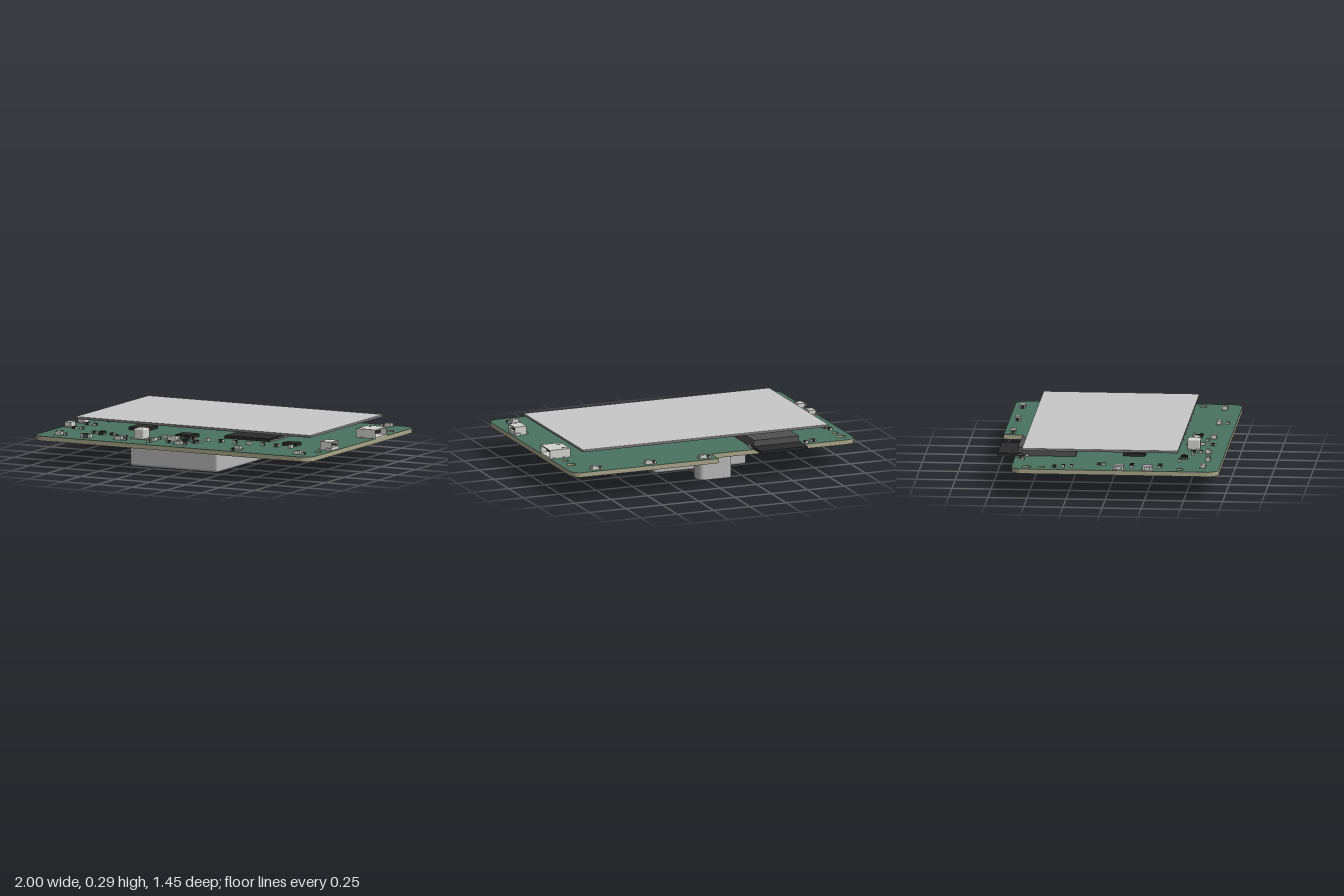
import * as THREE from 'three';
import { RoundedBoxGeometry } from 'three/addons/geometries/RoundedBoxGeometry.js';

const mat = (name, color) => {
  const m = new THREE.MeshStandardMaterial({ color });
  m.name = name;
  return m;
};

export function createModel() {
  const model = new THREE.Group();
  model.name = 'circuitBoard';
  const green = mat('boardGreen', 0x4a7461);
  const beige = mat('boardEdge', 0xa8a488);
  const panel = mat('screenGrey', 0xc8c8c8);
  const rim = mat('screenEdge', 0x77777a);
  const silver = mat('metal', 0xd2d2d0);
  const cell = mat('batteryGrey', 0xb8b8b8);
  const dark = mat('darkGrey', 0x505050);
  const black = mat('black', 0x2a2a2a);
  const TOP = 0.19;

  const add = (name, geo, material, x, y, z, parent = model) => {
    const m = new THREE.Mesh(geo, material);
    m.name = name;
    m.position.set(x, y, z);
    parent.add(m);
    return m;
  };
  // box given by its centre in plan and its bottom height
  const box = (name, material, x, z, w, d, h, y = TOP, parent = model) =>
    add(name, new THREE.BoxGeometry(w, h, d), material, x, y + h / 2, z, parent);
  const group = (name, x, z, turn = 0) => {
    const g = new THREE.Group();
    g.name = name;
    g.position.set(x, 0, z);
    g.rotation.y = turn;
    model.add(g);
    return g;
  };

  // board outline with a step at the back, and mounting holes
  const s = new THREE.Shape(), r = 0.07;
  s.moveTo(-1 + r, -0.72);
  s.lineTo(1 - r, -0.72);
  s.absarc(1 - r, -0.72 + r, r, -Math.PI / 2, 0);
  s.absarc(1 - r, 0.73 - r, r, 0, Math.PI / 2);
  s.lineTo(0, 0.73);
  s.lineTo(0, 0.605);
  s.absarc(-1 + r, 0.605 - r, r, Math.PI / 2, Math.PI);
  s.absarc(-1 + r, -0.72 + r, r, Math.PI, Math.PI * 1.5);
  for (const x of [-0.93, 0.927])
    for (const [z, rad] of [[-0.51, 0.03], [-0.412, 0.021], [0.47, 0.023]]) {
      const hole = new THREE.Path();
      hole.absarc(x, -z, rad, 0, Math.PI * 2, true);
      s.holes.push(hole);
    }
  const boardGeo = new THREE.ExtrudeGeometry(s, { depth: 0.03, bevelEnabled: false, curveSegments: 10 });
  boardGeo.rotateX(-Math.PI / 2);
  add('board', boardGeo, [green, beige], 0, 0.16, 0);

  // floating display panel
  box('screenBody', rim, 0.015, -0.0475, 1.69, 0.995, 0.012, 0.272);
  box('screenFace', panel, 0.015, -0.0475, 1.69, 0.995, 0.003, 0.284);

  // battery and the upright rounded block underneath
  add('battery', new RoundedBoxGeometry(0.635, 0.13, 1.005, 4, 0.018), cell, -0.0225, 0.095, 0.1375);
  const b = new THREE.Shape(), w = 0.115, d = 0.06, c = 0.035;
  b.moveTo(-w + c, -d);
  b.lineTo(w - c, -d);
  b.absarc(w - c, -d + c, c, -Math.PI / 2, 0);
  b.absarc(w - c, d - c, c, 0, Math.PI / 2);
  b.absarc(-w + c, d - c, c, Math.PI / 2, Math.PI);
  b.absarc(-w + c, -d + c, c, Math.PI, Math.PI * 1.5);
  const blockGeo = new THREE.ExtrudeGeometry(b, { depth: 0.16, bevelEnabled: false, curveSegments: 8 });
  blockGeo.rotateX(-Math.PI / 2);
  add('undersideBlock', blockGeo, cell, -0.065, 0, -0.465);

  // card socket with its card sticking out at the back
  box('cardSocket', dark, -0.455, -0.405, 0.31, 0.37, 0.055);
  box('card', black, -0.455, -0.635, 0.325, 0.17, 0.016);
  for (const side of [-1, 1])
    for (const z of [-0.575, -0.53]) box('socketTab', silver, -0.455 + side * 0.163, z, 0.018, 0.018, 0.012);

  // metal port at the right edge: hollow shell, tongue, slots and legs
  const port = group('portConnector', 0.93, -0.255);
  box('portRoof', silver, 0, 0, 0.14, 0.16, 0.007, 0.24, port);
  box('portFloor', silver, 0, 0, 0.14, 0.16, 0.007, TOP, port);
  box('portBack', silver, -0.066, 0, 0.008, 0.16, 0.05, TOP, port);
  box('portTongue', black, -0.01, 0, 0.1, 0.1, 0.014, 0.212, port);
  for (const side of [-1, 1]) {
    box('portWall', silver, 0, side * 0.077, 0.14, 0.006, 0.05, TOP, port);
    box('portSlot', black, -0.045, side * 0.045, 0.035, 0.009, 0.002, 0.246, port);
    for (const x of [-0.03, 0.04]) box('portLeg', silver, x, side * 0.08, 0.02, 0.012, 0.04, 0.157, port);
  }

  // white plug socket with side ears and pins
  const plug = group('plugSocket', 0.945, 0.345);
  box('plugFloor', silver, 0, 0, 0.08, 0.1, 0.02, TOP, plug);
  box('plugBack', silver, -0.034, 0, 0.012, 0.1, 0.055, TOP, plug);
  box('plugRoof', silver, 0, 0, 0.08, 0.1, 0.008, 0.237, plug);
  for (const side of [-1, 1]) {
    box('plugWall', silver, 0, side * 0.047, 0.08, 0.008, 0.055, TOP, plug);
    box('plugEar', silver, 0.02, side * 0.056, 0.03, 0.012, 0.015, TOP, plug);
  }
  for (let i = -1.5; i < 2; i++) {
    box('plugPin', dark, 0.015, i * 0.02, 0.04, 0.006, 0.006, 0.217, plug);
    box('plugLead', silver, -0.05, i * 0.02, 0.025, 0.008, 0.008, TOP, plug);
  }

  // two-terminal part: dark or light body between bright ends
  const chip = (x, z, turn = 0, len = 0.036, wid = 0.019, body = black, h = 0.015) => {
    const g = group('smallPart', x, z, turn ? Math.PI / 2 : 0);
    box('partBody', body, 0, 0, len * 0.6, wid, h, TOP, g);
    for (const e of [-1, 1]) box('partEnd', silver, e * len * 0.4, 0, len * 0.2, wid, h, TOP, g);
  };
  // indicator lights, each with a small part beside it
  const light = (x, z, side) => {
    const g = group('indicatorLight', x, z);
    box('lightBase', silver, 0, 0, 0.044, 0.036, 0.022, TOP, g);
    for (const e of [-1, 1])
      for (const f of [-1, 1]) box('lightPad', silver, e * 0.026, f * 0.013, 0.012, 0.012, 0.005, TOP, g);
    box('lightLens', panel, 0, 0, 0.03, 0.024, 0.002, TOP + 0.022, g);
    if (side) chip(x + side * 0.045, z, 1, 0.032, 0.014);
  };
  for (const x of [0.09, 0.465, 0.833]) light(x, -0.675, -1);
  for (const x of [-0.86, -0.43, 0, 0.857]) light(x, 0.613, 1);
  light(0.425, 0.613, 0);
  chip(0.425, 0.667);

  // side push buttons
  for (const z of [0.085, 0.268]) {
    const g = group('sideButton', -0.965, z);
    box('buttonBody', silver, 0, 0, 0.045, 0.06, 0.032, TOP, g);
    box('buttonCap', panel, -0.026, 0, 0.018, 0.035, 0.02, TOP + 0.006, g);
    for (const e of [-1, 1]) box('buttonPad', silver, 0.005, e * 0.034, 0.045, 0.012, 0.006, TOP, g);
  }

  // large coil, second coil and their pads
  add('coil', new RoundedBoxGeometry(0.075, 0.07, 0.085, 3, 0.01), silver, -0.32, TOP + 0.035, 0.513);
  for (const e of [-1, 1]) {
    for (const f of [-1, 1]) box('coilPad', silver, -0.32 + e * 0.052, 0.513 + f * 0.028, 0.022, 0.022, 0.008);
    box('smallCoilPad', silver, -0.095 + e * 0.036, 0.514, 0.012, 0.035, 0.012);
  }
  add('smallCoil', new RoundedBoxGeometry(0.06, 0.034, 0.04, 2, 0.006), silver, -0.095, TOP + 0.017, 0.514);
  chip(-0.655, 0.631, 0, 0.07, 0.03, dark, 0.025);

  // leaded chips near the front
  for (const [x, z] of [[-0.622, 0.475], [0, 0.515]]) {
    box('controlChip', black, x, z, 0.032, 0.045, 0.022);
    for (const e of [-1, 1])
      for (const f of [-1, 0, 1]) box('chipLead', silver, x + e * 0.018, z + f * 0.015, 0.008, 0.007, 0.008);
  }

  // scattered small parts [x, z, turned]
  const parts = [
    [-0.49, 0.517, 0], [-0.555, 0.468, 0], [-0.43, 0.525, 1], [-0.43, 0.565, 0], [-0.21, 0.475, 1],
    [-0.21, 0.625, 1], [-0.082, 0.58, 0], [0.07, 0.483, 0], [0.07, 0.53, 0], [-0.69, 0.45, 0],
    [-0.895, 0.16, 0], [-0.84, 0.16, 1], [-0.895, 0.34, 0], [-0.84, 0.34, 1], [-0.913, -0.275, 0],
    [-0.913, -0.222, 0], [-0.93, -0.33, 1], [-0.84, -0.05, 1], [-0.84, -0.02, 0], [-0.665, -0.57, 1],
    [-0.72, -0.55, 0],
  ];
  for (const p of parts) chip(...p);
  chip(-0.21, 0.55, 1, 0.05, 0.022, panel, 0.02);

  // chips hidden below the display
  for (const [x, z, a, e] of [[0.3, 0.05, 0.32, 0.4], [-0.5, 0.15, 0.14, 0.14], [0.65, 0.3, 0.1, 0.08], [-0.1, 0.3, 0.12, 0.1]])
    box('hiddenChip', black, x, z, a, e, 0.018);
  for (let i = 0; i < 10; i++) {
    for (const side of [-1, 1]) box('hiddenLead', silver, 0.3 + side * 0.167, -0.12 + i * 0.038, 0.016, 0.014, 0.008);
    chip(-0.2 + i * 0.1, 0.41, i % 2, 0.036, 0.019, i % 3 ? black : silver, 0.02);
  }

  // row of pin ends on the underside
  for (let i = 0; i < 6; i++) box('pinEnd', silver, 0.32 + i * 0.056, -0.412, 0.012, 0.012, 0.004, 0.157);
  return model;
}
